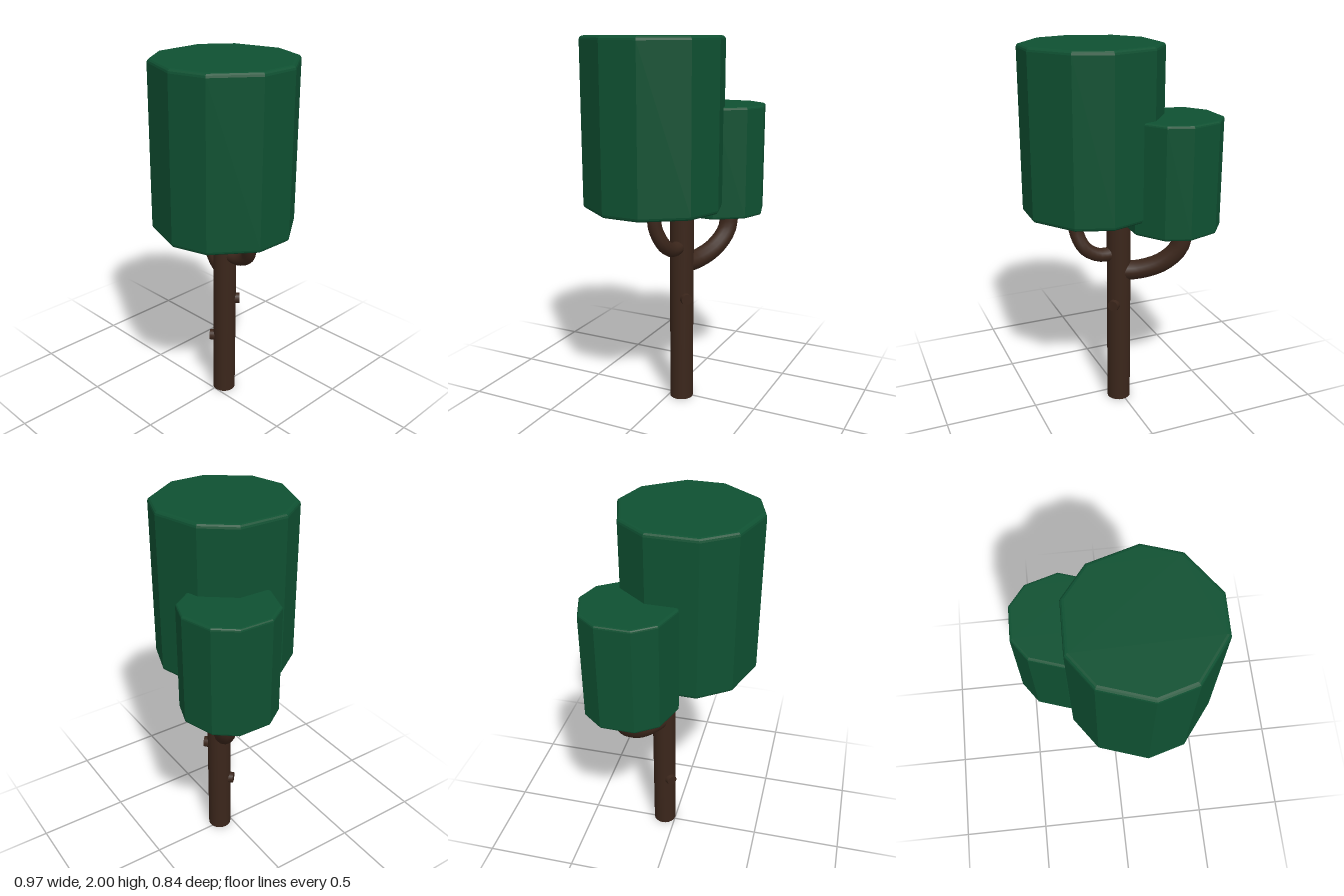
import * as THREE from 'three';

const bark = new THREE.MeshStandardMaterial({ color: 0x3b261b });
const leaves = new THREE.MeshStandardMaterial({ color: 0x0f5132, flatShading: true });

// Irregular ten-sided canopy outline as x, z pairs around its centre
const OUTLINE = [
  [0.02, -0.375], [0.21, -0.31], [0.36, -0.095], [0.355, 0.11], [0.195, 0.32],
  [0.005, 0.375], [-0.245, 0.29], [-0.36, 0.125], [-0.355, -0.14], [-0.23, -0.3],
];
const CANOPY_HEIGHT = 0.885;
const BEVEL = 0.02;

function canopyGeometry() {
  const shape = new THREE.Shape(OUTLINE.map(([x, z]) => new THREE.Vector2(x, -z)));
  const geometry = new THREE.ExtrudeGeometry(shape, {
    depth: CANOPY_HEIGHT - 2 * BEVEL,
    bevelSize: BEVEL, bevelOffset: -BEVEL, bevelThickness: BEVEL, bevelSegments: 3,
  });
  return geometry.translate(0, 0, BEVEL).rotateX(-Math.PI / 2);
}

function add(group, name, geometry, material, position = [0, 0, 0]) {
  const mesh = new THREE.Mesh(geometry, material);
  mesh.name = name;
  mesh.position.set(...position);
  group.add(mesh);
  return mesh;
}

function branchGeometry(points, radius) {
  const curve = new THREE.CatmullRomCurve3(points.map((p) => new THREE.Vector3(...p)));
  return new THREE.TubeGeometry(curve, 14, radius, 12);
}

export function createModel() {
  const tree = new THREE.Group();
  tree.name = 'tree';
  const trunkX = 0.015, trunkZ = -0.065, trunkRadius = 0.065;

  // Trunk
  add(tree, 'trunk', new THREE.CylinderGeometry(trunkRadius, trunkRadius, 1.1, 20), bark, [trunkX, 0.55, trunkZ]);

  // Curved branches, ending inside the canopies
  add(tree, 'rightBranch', branchGeometry([
    [0.01, 0.785, -0.07], [-0.08, 0.79, -0.11], [-0.2, 0.84, -0.17],
    [-0.28, 0.935, -0.21], [-0.295, 1.09, -0.212],
  ], 0.053), bark);
  add(tree, 'leftBranch', branchGeometry([
    [0.03, 0.89, -0.065], [0.13, 0.89, -0.062], [0.205, 0.935, -0.05],
    [0.243, 1.03, -0.02], [0.246, 1.16, -0.013],
  ], 0.038), bark);

  // Cut stubs facing out from the trunk
  for (const [name, y, side] of [['upperKnot', 0.6, 1], ['lowerKnot', 0.355, -1]]) {
    const out = new THREE.Vector3(side, 0, -side).normalize();
    const p = out.clone().multiplyScalar(trunkRadius);
    const knot = add(tree, name, new THREE.CylinderGeometry(0.03, 0.033, 0.04, 12), bark,
      [trunkX + p.x, y, trunkZ + p.z]);
    knot.quaternion.setFromUnitVectors(new THREE.Vector3(0, 1, 0), out);
  }

  // Canopies share one outline at two sizes
  const canopy = canopyGeometry();
  add(tree, 'largeCanopy', canopy, leaves, [0.125, 1.115, 0.045]);
  add(tree, 'smallCanopy', canopy, leaves, [-0.2475, 1.042, -0.1725]).scale.setScalar(0.673);

  return tree;
}
